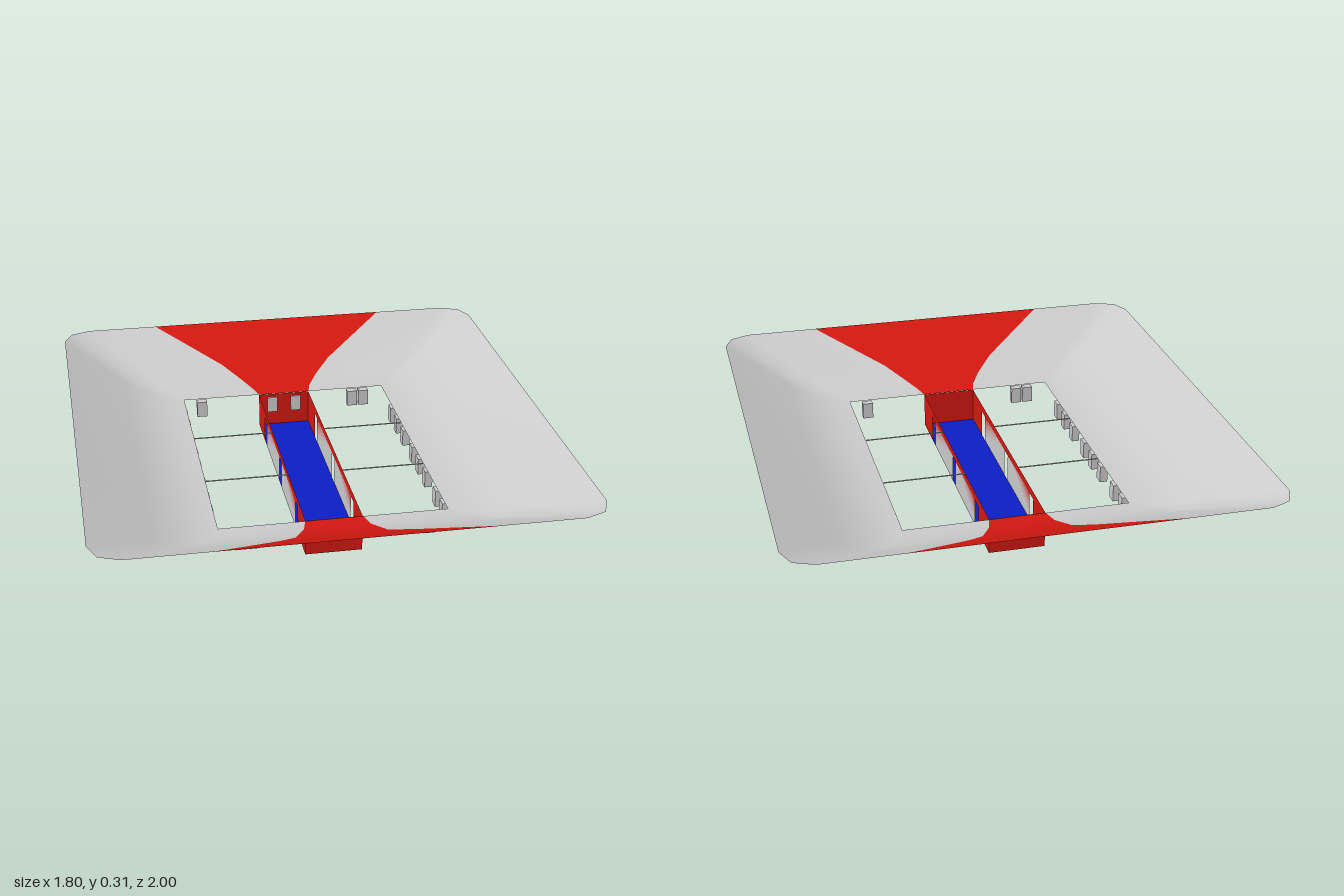
import * as THREE from 'three';

const sheetMat = (color) => new THREE.MeshStandardMaterial({ color, side: THREE.DoubleSide });
const grey = sheetMat(0xcccccc), red = sheetMat(0xd41810), blue = sheetMat(0x0d1ec4);

function add(parent, name, geometry, material, x = 0, y = 0, z = 0) {
  const mesh = new THREE.Mesh(geometry, material);
  mesh.name = name;
  mesh.position.set(x, y, z);
  parent.add(mesh);
  return mesh;
}

// Flat sheet in the zy plane, from [z, y] corners
function sheet(points) {
  const shape = new THREE.Shape(points.map(([z, y]) => new THREE.Vector2(z, y)));
  return new THREE.ShapeGeometry(shape).rotateY(-Math.PI / 2);
}

// Sloped bowl lofted through rings; the end aprons are the red strips
function buildBowl(parent) {
  // half width, half length, height, corner radius, half width of apron
  const rings = [
    [0.425, 0.56, 0.14, 0.001, 0.107],
    [0.49, 0.62, 0.141, 0.03, 0.122],
    [0.58, 0.70, 0.157, 0.06, 0.165],
    [0.675, 0.78, 0.195, 0.085, 0.235],
    [0.9, 1.0, 0.305, 0.108, 0.5],
  ];
  const position = [];
  for (const [X, Z, y, r, w] of rings) {
    const corner = [0, Math.PI / 4, Math.PI / 2].map((a) => [X - r + r * Math.sin(a), Z - r + r * Math.cos(a)]);
    const quarter = [[w, Z], ...corner];
    const half = [...quarter, [X, 0], ...quarter.map(([x, z]) => [x, -z]).reverse()];
    const full = [...half, ...half.map(([x, z]) => [-x, -z])];
    for (const [x, z] of full) position.push(x, y, z);
  }
  const n = 18, stand = [], apron = [];
  for (let i = 0; i < rings.length - 1; i++) {
    for (let j = 0; j < n; j++) {
      const a = i * n + j, b = i * n + (j + 1) % n;
      (j % 9 === 8 ? apron : stand).push(a, a + n, b, b, a + n, b + n);
    }
  }
  const whole = new THREE.BufferGeometry();
  whole.setAttribute('position', new THREE.Float32BufferAttribute(position, 3));
  whole.setIndex([...stand, ...apron]);
  whole.computeVertexNormals();
  const part = (index) => {
    const g = new THREE.BufferGeometry();
    g.setAttribute('position', whole.attributes.position);
    g.setAttribute('normal', whole.attributes.normal);
    g.setIndex(index);
    return g;
  };
  add(parent, 'slopedBowl', part(stand), grey);
  add(parent, 'endAprons', part(apron), red);
}

// Open channel along the middle: floor, end walls, side walls with slots
function buildChannel(parent) {
  const channel = new THREE.Group();
  channel.name = 'channel';
  parent.add(channel);
  add(channel, 'channelFloor', new THREE.PlaneGeometry(0.212, 1.116).rotateX(-Math.PI / 2), blue, 0, 0.001, 0);
  for (const s of [-1, 1]) add(channel, 'channelEndWall', new THREE.PlaneGeometry(0.212, 0.14), red, 0, 0.07, s * 0.558);

  const frame = sheet([[-0.558, 0], [-0.397, 0], [-0.397, 0.11], [0.397, 0.11],
    [0.397, 0], [0.558, 0], [0.558, 0.14], [-0.558, 0.14]]);
  const outer = 0.348, inner = 0.024, top = 0.11, bands = 5, reachZ = 0.27, reachY = 0.085;
  for (const x of [-0.106, 0.106]) {
    add(channel, 'channelSideWall', frame, red, x);
    for (const s of [-1, 1]) {
      add(channel, 'sidePanel', sheet([[s * inner, 0], [s * outer, 0], [s * outer, top - reachY],
        [s * (outer - reachZ), top], [s * inner, top]]), grey, x);
      // Red fading to grey away from the upper outer corner
      for (let k = 0; k < bands; k++) {
        const t0 = k / bands, t1 = (k + 1) / bands;
        const tint = sheetMat(new THREE.Color(0xd41810).lerp(new THREE.Color(0xcccccc), (k + 0.3) / bands));
        add(channel, 'panelFade', sheet([[s * outer, top - reachY * t0], [s * outer, top - reachY * t1],
          [s * (outer - reachZ * t1), top], [s * (outer - reachZ * t0), top]]), tint, x);
      }
    }
  }
}

// Small upright boxes hung under the edge of the opening
function buildBoxes(parent) {
  const boxes = new THREE.Group();
  boxes.name = 'edgeBoxes';
  parent.add(boxes);
  const sideBox = new THREE.BoxGeometry(0.03, 0.066, 0.042);
  const endBox = new THREE.BoxGeometry(0.042, 0.066, 0.03);
  for (const s of [-1, 1]) {
    for (const z of [0.475, 0.375, 0.215, 0.105, 0, -0.155, -0.27, -0.375])
      add(boxes, 'sideBox', sideBox, grey, s * 0.436, 0.093, s * z);
    for (const x of [0.35, -0.298, -0.347])
      add(boxes, 'endBox', endBox, grey, s * x, 0.093, s * 0.57);
  }
  for (const x of [-0.05, 0.05]) add(boxes, 'backWallBox', endBox, grey, x, 0.093, -0.566);
}

export function createModel() {
  const model = new THREE.Group();
  model.name = 'bowlWithChannel';
  buildBowl(model);
  buildChannel(model);
  buildBoxes(model);

  // Thin cross lines over the opening on both sides of the channel
  const line = new THREE.BoxGeometry(0.318, 0.003, 0.005);
  for (const z of [-0.187, 0.187])
    for (const s of [-1, 1]) add(model, 'crossLine', line, grey, s * 0.266, 0.139, z);
  return model;
}
